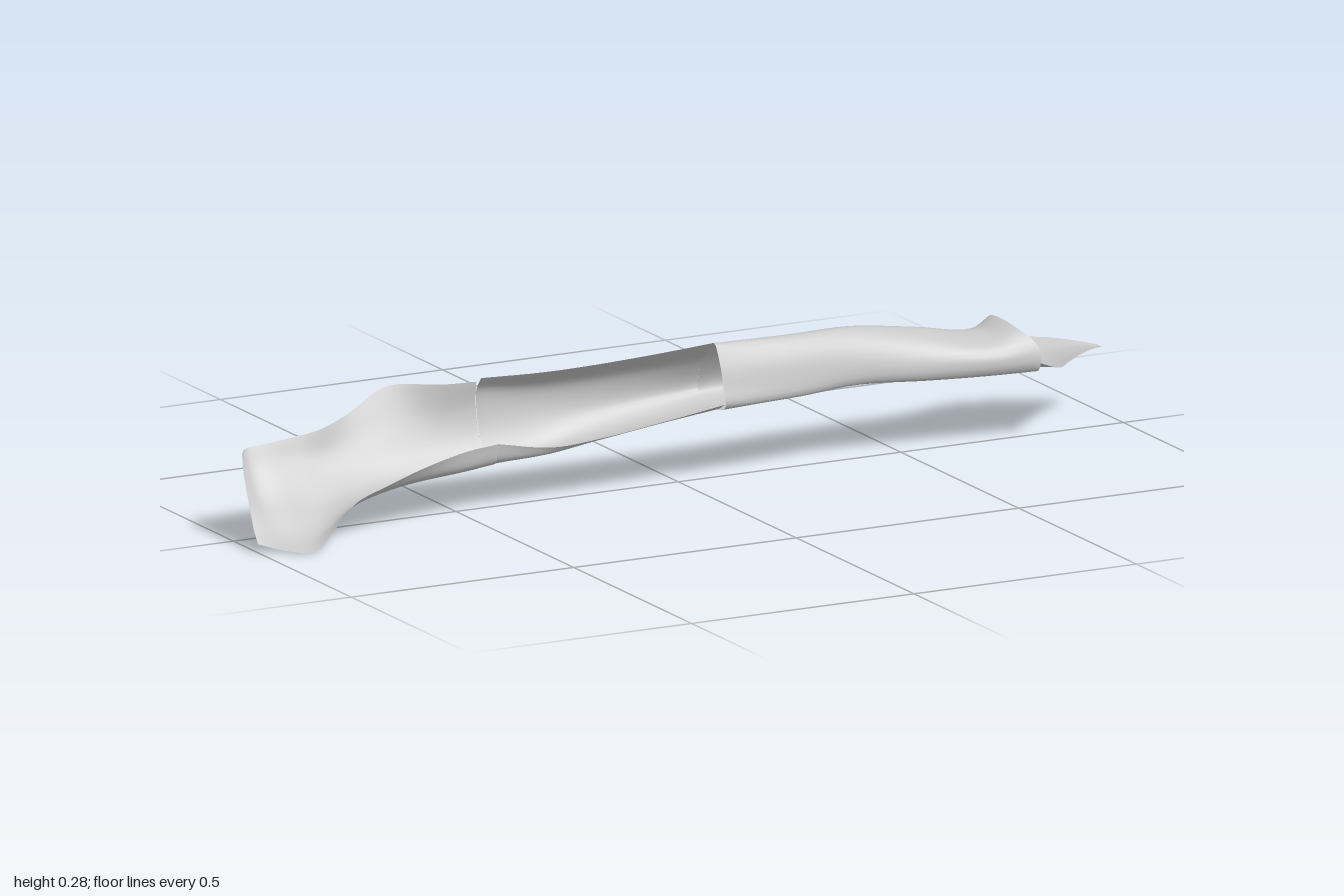
import * as THREE from 'three';
import { mergeVertices } from 'three/addons/utils/BufferGeometryUtils.js';

const paleGrey = new THREE.MeshStandardMaterial({ color: 0xc6c6c6, side: THREE.DoubleSide });
paleGrey.name = 'paleGrey';

// Each section is { x, p: [[z, y], ...], dx: optional x shift per point }
const section = (x, p, dx = []) => p.map(([z, y], i) => new THREE.Vector3(x + (dx[i] || 0), y, z));

// Smooth thin shell lofted through cross-sections
function loft(name, sections, closed = false) {
  const across = 28, along = (sections.length - 1) * 5;
  const rings = sections.map(s => new THREE.CatmullRomCurve3(s, closed, 'centripetal').getPoints(across));
  const pos = [], idx = [];
  for (let j = 0; j <= across; j++) {
    const line = new THREE.CatmullRomCurve3(rings.map(r => r[j]), false, 'centripetal');
    for (const v of line.getPoints(along)) pos.push(v.x, v.y, v.z);
  }
  const n = along + 1;
  for (let j = 0; j < across; j++) {
    for (let i = 0; i < along; i++) {
      const a = j * n + i, b = a + n;
      idx.push(a, a + 1, b, b, a + 1, b + 1);
    }
  }
  let geo = new THREE.BufferGeometry();
  geo.setAttribute('position', new THREE.Float32BufferAttribute(pos, 3));
  geo.setIndex(idx);
  geo = mergeVertices(geo, 1e-5);
  geo.computeVertexNormals();
  const mesh = new THREE.Mesh(geo, paleGrey);
  mesh.name = name;
  return mesh;
}

export function createModel() {
  const group = new THREE.Group();
  group.name = 'hollowShaft';

  // Flared open blade, listed from upper back edge to lower front lip
  group.add(loft('flaredBlade', [
    section(-1, [[-.03, .17], [-.01, .135], [.02, .10], [.05, .07], [.08, .04], [.105, .018]],
      [.035, .028, .02, .012, .004, 0]),
    section(-.95, [[-.042, .175], [-.02, .135], [.015, .09], [.055, .055], [.10, .02], [.135, .005]]),
    section(-.9, [[-.045, .178], [-.025, .14], [.01, .095], [.055, .055], [.11, .015], [.155, .002]]),
    section(-.84, [[-.05, .183], [-.03, .14], [.01, .09], [.05, .055], [.095, .032], [.13, .035]]),
    section(-.78, [[-.052, .19], [-.035, .14], [0, .095], [.04, .065], [.08, .06], [.105, .075]]),
    section(-.7, [[-.075, .21], [-.045, .15], [-.01, .1], [.03, .072], [.07, .08], [.09, .098]]),
    section(-.61, [[-.09, .25], [-.055, .17], [-.02, .11], [.015, .08], [.055, .09], [.075, .12]]),
    section(-.5, [[-.06, .247], [-.055, .18], [-.03, .12], [.005, .085], [.04, .095], [.05, .135]]),
    section(-.425, [[-.055, .245], [-.057, .19], [-.035, .125], [0, .09], [.03, .1], [.038, .138]]),
  ]));

  // Roofed trough, open along the front
  group.add(loft('roofedTrough', [
    section(-.425, [[-.035, .257], [-.056, .225], [-.042, .142], [-.005, .092], [.028, .1], [.036, .138]]),
    section(-.3, [[-.015, .258], [-.058, .215], [-.05, .15], [-.015, .1], [.022, .1], [.033, .115]]),
    section(-.2, [[-.01, .26], [-.058, .215], [-.055, .155], [-.02, .115], [.018, .112], [.035, .12]]),
    section(-.05, [[-.005, .267], [-.055, .22], [-.063, .165], [-.03, .132], [.015, .13], [.042, .14]]),
    section(.08, [[0, .276], [-.05, .225], [-.07, .17], [-.04, .145], [.01, .142], [.048, .16]]),
  ]));

  // Closed three-sided tube with a ragged far rim
  group.add(loft('closedTube', [
    section(.08, [[0, .276], [-.05, .225], [-.07, .17], [-.04, .145], [.01, .142], [.05, .155], [.042, .19], [.025, .24]]),
    section(.25, [[-.012, .27], [-.055, .225], [-.083, .172], [-.05, .15], [0, .15], [.038, .155], [.035, .19], [.018, .24]]),
    section(.4, [[-.03, .265], [-.07, .225], [-.1, .178], [-.06, .152], [-.01, .152], [.025, .16], [.025, .195], [.005, .24]]),
    section(.55, [[-.04, .243], [-.08, .215], [-.115, .175], [-.07, .148], [-.01, .143], [.032, .152], [.03, .19], [.005, .225]]),
    section(.69, [[-.045, .222], [-.085, .205], [-.125, .17], [-.08, .143], [-.01, .138], [.045, .148], [.045, .185], [.01, .212]]),
    section(.78, [[-.05, .243], [-.09, .215], [-.145, .172], [-.08, .14], [-.01, .138], [.06, .15], [.056, .195], [.02, .23]],
      [-.05, -.04, 0, 0, 0, 0, 0, -.03]),
  ], true));

  // Flat tongue reaching out from the floor of the tube
  group.add(loft('endTongue', [
    section(.775, [[-.143, .18], [-.08, .14], [-.01, .138], [.057, .165]]),
    section(.82, [[-.16, .165], [-.08, .138], [-.01, .138], [.065, .15]]),
    section(.86, [[-.158, .158], [-.1, .138], [-.03, .138], [.03, .148]]),
    section(.91, [[-.15, .152], [-.11, .14], [-.06, .141], [-.015, .147]]),
    section(.96, [[-.125, .145], [-.11, .139], [-.085, .139], [-.06, .142]]),
    section(1, [[-.11, .136], [-.105, .135], [-.1, .135], [-.09, .136]]),
  ]));
  return group;
}
